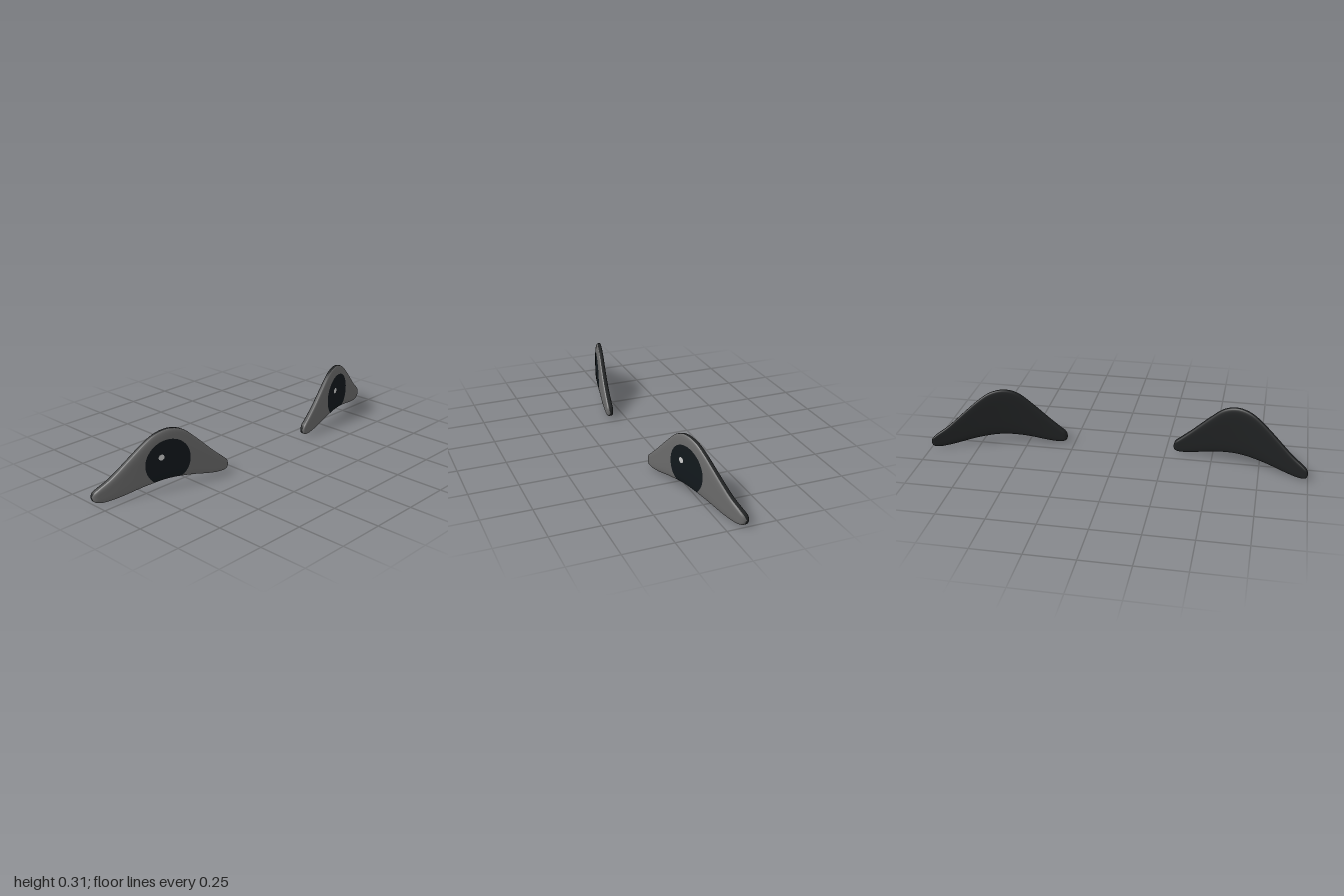
import * as THREE from 'three';

const curve = (pts) => new THREE.SplineCurve(pts.map(([x, y]) => new THREE.Vector2(x, y)));

// Upper and lower lid lines, from the inner to the outer corner
const upper = curve([[0.29, 0.035], [0.3, 0.063], [0.33, 0.09], [0.39, 0.143], [0.48, 0.229], [0.55, 0.288],
  [0.62, 0.31], [0.69, 0.297], [0.75, 0.259], [0.82, 0.198], [0.91, 0.116], [0.97, 0.073], [0.992, 0.054], [1, 0.035]]);
const lower = curve([[0.29, 0.035], [0.298, 0.016], [0.33, 0.007], [0.4, 0.015], [0.52, 0.04], [0.64, 0.051],
  [0.76, 0.037], [0.88, 0.01], [0.95, 0], [0.985, 0.006], [0.996, 0.018], [1, 0.035]]);

// Height of a lid line at x
function heightAt(line, x) {
  let a = 0, b = 1;
  for (let k = 0; k < 30; k++) {
    const m = (a + b) / 2;
    if (line.getPoint(m).x < x) a = m; else b = m;
  }
  return line.getPoint(a).y;
}

const ROUND = 4; // exponent of the rounded cross-section
const bow = (x) => 0.103 + 0.0627 * x - 0.246 * x * x; // front surface bends back outwards

function section(x) {
  const lo = heightAt(lower, x), hi = heightAt(upper, x);
  const half = Math.max((hi - lo) / 2, 0);
  const depth = 0.018 * Math.sqrt(Math.min(1, half / 0.03));
  return { lo, half, mid: (hi + lo) / 2, depth, z: bow(x) - 0.018 };
}

// Depth of the front surface at a point
function frontZ(x, y) {
  const c = section(x);
  const s = Math.min(1, Math.abs((y - c.mid) / c.half));
  return c.z + c.depth * Math.pow(1 - s ** ROUND, 1 / ROUND);
}

// Smooth grid surface; side = -1 mirrors it and turns its faces
function surface(nu, nv, side, at) {
  const pos = [], index = [];
  for (let i = 0; i <= nu; i++) {
    for (let j = 0; j <= nv; j++) {
      const [x, y, z] = at(i / nu, j / nv);
      pos.push(x * side, y, z);
      if (i === nu || j === nv) continue;
      const a = i * (nv + 1) + j, b = a + nv + 1;
      if (side > 0) index.push(a, b, b + 1, a, b + 1, a + 1);
      else index.push(a, b + 1, b, a, a + 1, b + 1);
    }
  }
  const g = new THREE.BufferGeometry();
  g.setAttribute('position', new THREE.Float32BufferAttribute(pos, 3));
  g.setIndex(index);
  g.computeVertexNormals();
  return g;
}

// Part of the lofted body between two angles round its cross-section
function body(side, from, to, steps) {
  const power = (v) => Math.sign(v) * Math.abs(v) ** (2 / ROUND);
  return surface(64, steps, side, (u, v) => {
    const x = 0.645 - 0.355 * Math.cos(u * Math.PI);
    const c = section(x), a = (from + (to - from) * v) * Math.PI;
    return [x, c.mid - c.half * power(Math.cos(a)), c.z + c.depth * power(Math.sin(a))];
  });
}

// Round patch lying on the front surface, cut off by the lower lid
function disc(side, cx, cy, rx, ry, lift) {
  return surface(12, 56, side, (u, v) => {
    const a = v * Math.PI * 2;
    const x = cx + rx * u * Math.cos(a);
    const y = Math.max(cy + ry * u * Math.sin(a), section(x).lo + 0.005);
    return [x, y, frontZ(x, y) + lift];
  });
}

export function createModel() {
  const model = new THREE.Group();
  model.name = 'eyes';
  const mat = (color) => new THREE.MeshStandardMaterial({ color });
  const grey = mat(0x6a6a6a), dark = mat(0x202223), black = mat(0x12181c), light = mat(0xcccccc);

  for (const side of [1, -1]) {
    const eye = new THREE.Group();
    eye.name = side > 0 ? 'leftEye' : 'rightEye';
    const add = (name, geometry, material) => {
      const mesh = new THREE.Mesh(geometry, material);
      mesh.name = name;
      eye.add(mesh);
    };
    add('eyeWhite', body(side, 0.06, 0.94, 32), grey);
    add('rimAndBack', body(side, -1.06, 0.06, 36), dark);
    add('iris', disc(side, 0.64, 0.143, 0.118, 0.117, 0.0015), black);
    // Both highlights sit towards the same side
    add('highlight', disc(side, side > 0 ? 0.607 : 0.677, 0.175, 0.015, 0.015, 0.003), light);
    model.add(eye);
  }
  return model;
}
